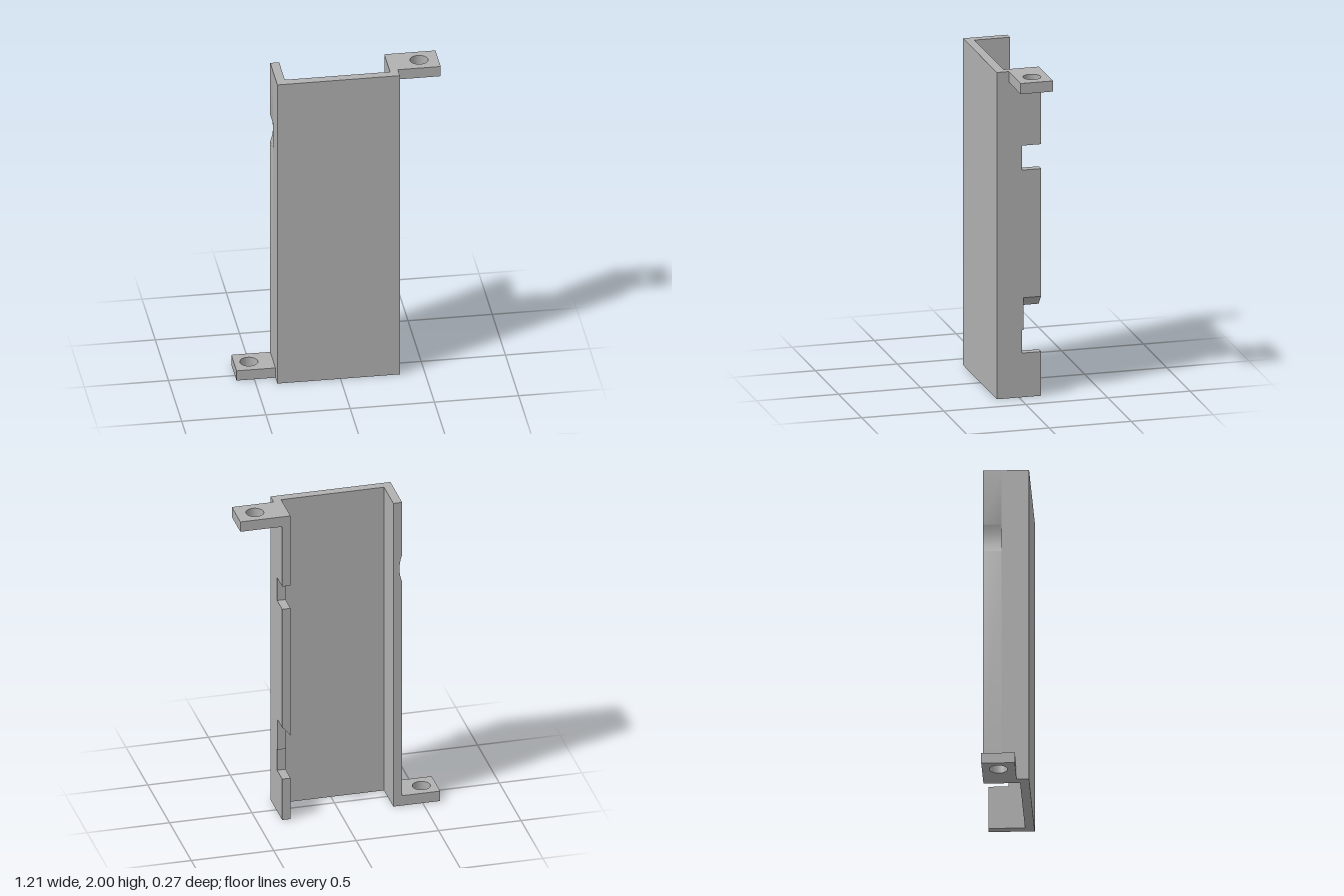
import * as THREE from 'three';
import { toCreasedNormals } from 'three/addons/utils/BufferGeometryUtils.js';

const H = 2, BACK = -0.135, FRONT = 0.135;
const L = -0.375, LI = -0.322, R = 0.352, RI = 0.302; // outer and inner wall faces
const NOTCH = -0.018, SCOOP = -0.028; // how far forward the cuts reach

export function createModel() {
  const model = new THREE.Group();
  model.name = 'mountingBracket';
  const grey = new THREE.MeshStandardMaterial({ color: 0xb0b0b0 });
  grey.name = 'grey';

  const add = (name, geometry) => {
    const mesh = new THREE.Mesh(toCreasedNormals(geometry, 0.5), grey);
    mesh.name = name;
    model.add(mesh);
  };
  const extrude = (shape, depth) =>
    new THREE.ExtrudeGeometry(shape, { depth, bevelEnabled: false, curveSegments: 24 });
  // plan shape (x, -z) raised from y0 to y1
  const raise = (name, shape, y0, y1) =>
    add(name, extrude(shape, y1 - y0).rotateX(-Math.PI / 2).translate(0, y0, 0));
  // elevation shape (x, y) carried from z0 to z1
  const carry = (name, shape, z0, z1) => add(name, extrude(shape, z1 - z0).translate(0, 0, z0));
  const polygon = (points) => new THREE.Shape(points.map(([x, y]) => new THREE.Vector2(x, y)));
  const rect = (x0, y0, x1, y1) => polygon([[x0, y0], [x1, y0], [x1, y1], [x0, y1]]);

  // front plate with the uncut front parts of both walls
  raise('channel', polygon([
    [L, -FRONT], [R, -FRONT], [R, -NOTCH], [RI, -NOTCH],
    [RI, -0.08], [LI, -0.08], [LI, -SCOOP], [L, -SCOOP],
  ]), 0, H);

  // rear of the left wall, with a shallow round scoop in its outer face
  const left = new THREE.Shape();
  left.moveTo(L, 0);
  left.lineTo(LI, 0);
  left.lineTo(LI, H);
  left.lineTo(L, H);
  left.absarc(-0.606, 1.565, 0.247, 0.361, -0.361, true);
  left.closePath();
  carry('leftWallRear', left, BACK, SCOOP);

  // rear of the right wall, broken by two notches
  carry('rightWallFoot', rect(RI, 0, R, 0.27), BACK, NOTCH);
  carry('rightWallTop', rect(RI, 1.54, R, H), BACK, NOTCH);
  carry('rightWallWeb', rect(RI, 0.41, R, 1.39), SCOOP, NOTCH);
  const cx = 0.512, r = 0.245;
  const middle = new THREE.Shape();
  middle.moveTo(RI, 1.39);
  middle.lineTo(R, 1.39);
  middle.absarc(cx, 0.423, r, Math.acos((R - cx) / r), Math.acos((RI - cx) / r), false);
  middle.closePath();
  carry('rightWallMiddle', middle, BACK, SCOOP);

  // screw tabs at opposite corners
  const tab = (name, x0, x1, holeX, y0) => {
    const shape = rect(x0, -0.062, x1, -BACK);
    shape.holes.push(new THREE.Path().absarc(holeX, 0.038, 0.053, 0, Math.PI * 2, true));
    raise(name, shape, y0, y0 + 0.065);
  };
  tab('lowerTab', -0.606, L, -0.517, 0);
  tab('upperTab', R, 0.606, 0.493, H - 0.065);

  return model;
}
